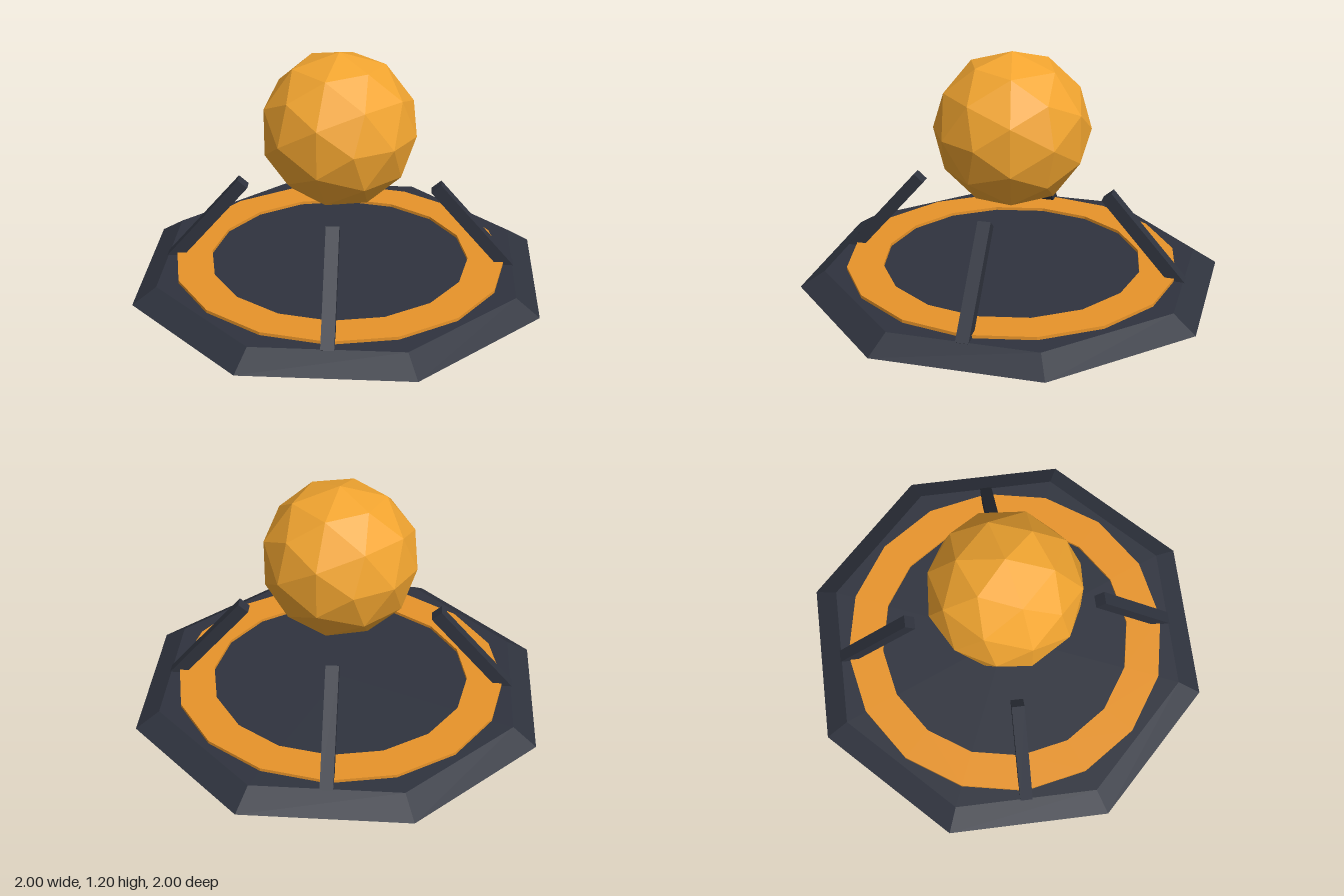
import * as THREE from 'three';

const material = (color) => new THREE.MeshStandardMaterial({ color, flatShading: true });

export function createModel() {
  const group = new THREE.Group();
  const dark = material(0x2f333e);
  const gold = material(0xf2a530);
  const orange = material(0xe8942a);

  const add = (name, geometry, mat) => {
    const mesh = new THREE.Mesh(geometry, mat);
    mesh.name = name;
    group.add(mesh);
    return mesh;
  };

  // Octagonal plinth with sloping sides, flats facing the axes
  const flat = Math.cos(Math.PI / 8);
  const base = new THREE.CylinderGeometry(0.885 / flat, 1 / flat, 0.08, 8);
  base.rotateY(Math.PI / 8).translate(0, 0.04, 0);
  add('base', base, dark);

  // Thin sixteen-sided ring lying on the plinth
  const ring = new THREE.LatheGeometry(
    [[0.66, 0.075], [0.845, 0.075], [0.845, 0.096], [0.66, 0.096], [0.66, 0.075]]
      .map(([r, y]) => new THREE.Vector2(r, y)), 16);
  add('ring', ring, orange);

  // Four square struts leaning inwards on the diagonals, feet sunk in the plinth
  const tilt = 0.715;
  const length = 0.58;
  for (let i = 0; i < 4; i++) {
    const strut = new THREE.BoxGeometry(0.064, length, 0.064);
    strut.translate(0, -length / 2, 0);
    strut.rotateX(-tilt);
    strut.translate(0, 0.495, 0.488);
    strut.rotateY(Math.PI / 4 + i * Math.PI / 2);
    add('strut', strut, dark);
  }

  // Faceted orb floating above the struts
  const orb = new THREE.IcosahedronGeometry(0.393, 1);
  orb.rotateY(Math.PI / 2).translate(0, 0.803, 0);
  add('orb', orb, gold);

  return group;
}
